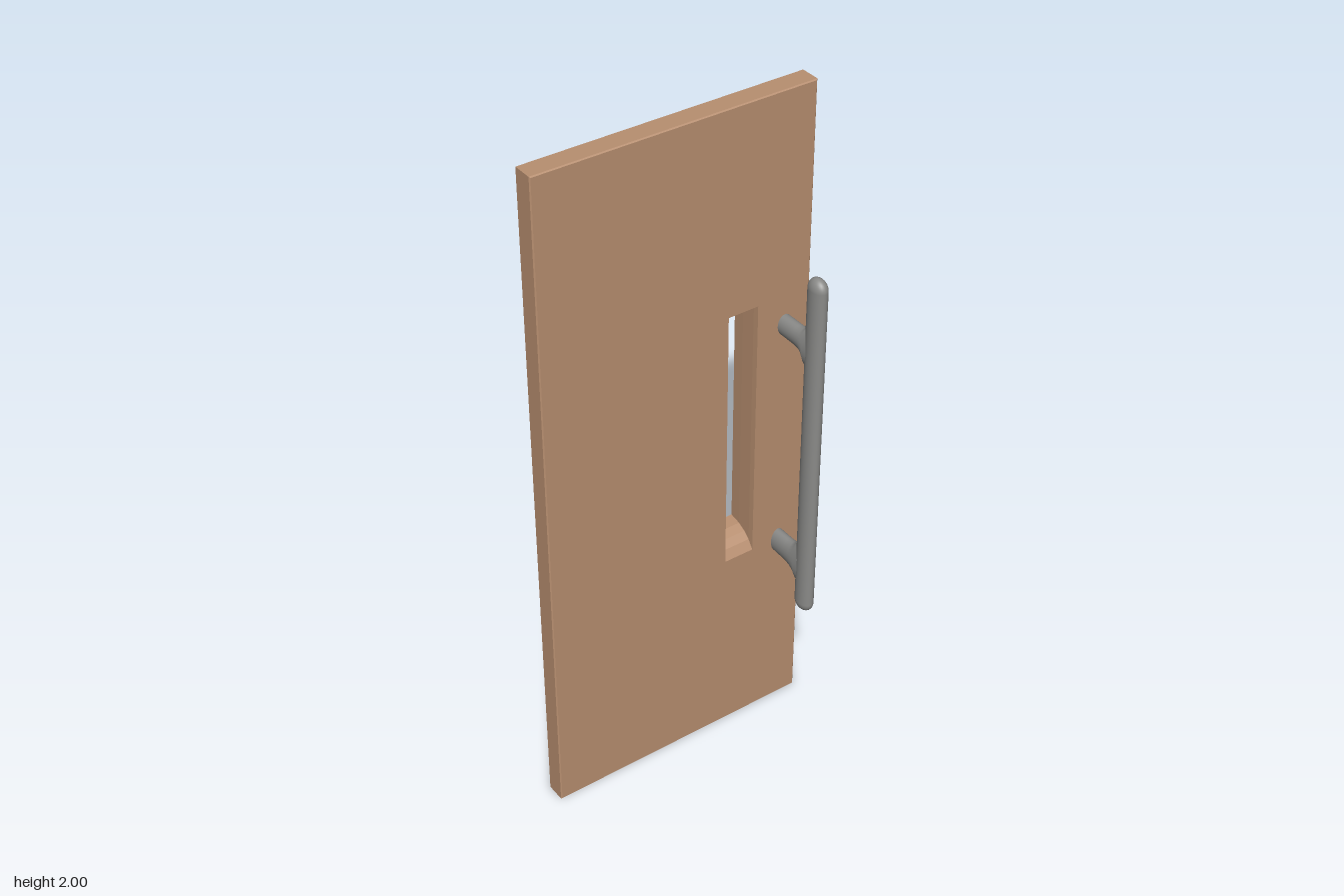
import * as THREE from 'three';

// Skin a list of equal-length point loops, joined in order
function loft(rings) {
  const n = rings[0].length;
  const index = [];
  for (let r = 0; r < rings.length - 1; r++) {
    for (let i = 0; i < n; i++) {
      const j = (i + 1) % n;
      const a = r * n + i, b = r * n + j, c = a + n, d = b + n;
      index.push(a, b, c, b, d, c);
    }
  }
  const geo = new THREE.BufferGeometry();
  geo.setAttribute('position', new THREE.Float32BufferAttribute(rings.flat(2), 3));
  geo.setIndex(index);
  geo.computeVertexNormals();
  return geo;
}

// Rectangular loop in the plane x
const rect = (x, z0, z1, y0, y1) => [[x, y0, z0], [x, y0, z1], [x, y1, z1], [x, y1, z0]];

// Oval loop in the plane x
function oval(x, y0, y1, halfZ, z, n = 24) {
  return Array.from({ length: n }, (_, i) => {
    const t = (i / n) * Math.PI * 2;
    return [x, (y0 + y1) / 2 - Math.sin(t) * (y1 - y0) / 2, z + Math.cos(t) * halfZ];
  });
}

export function createModel() {
  const wood = new THREE.MeshStandardMaterial({ color: 0xb88f70, side: THREE.DoubleSide });
  wood.name = 'wood';
  const metal = new THREE.MeshStandardMaterial({ color: 0x8a8a88 });
  metal.name = 'metal';

  const model = new THREE.Group();
  model.name = 'door';
  const add = (name, geo, mat, parent = model) => {
    const mesh = new THREE.Mesh(geo, mat);
    mesh.name = name;
    parent.add(mesh);
    return mesh;
  };

  // Door panel: flared through-slot, front face, slim bevels, edges and back face
  const back = -0.095, front = -0.033, e = 0.003;
  const panel = loft([
    rect(-0.132, -0.245, -0.18, 0.66, 1.402),
    rect(back, -0.244, -0.176, 0.655, 1.403),
    rect(-0.07, -0.244, -0.17, 0.643, 1.404),
    rect(-0.05, -0.244, -0.162, 0.626, 1.405),
    rect(front, -0.245, -0.152, 0.6, 1.407),
    rect(front, -0.41 + e, 0.41 - e, e, 2 - e),
    rect(front - e, -0.41, 0.41, 0, 2),
    rect(back + e, -0.41, 0.41, 0, 2),
    rect(back, -0.41 + e, 0.41 - e, e, 2 - e),
    rect(back, -0.244, -0.176, 0.655, 1.403),
  ]).toNonIndexed();
  panel.computeVertexNormals();
  add('doorPanel', panel, wood);

  // Pull handle: oval bar with rounded ends
  const handle = new THREE.Group();
  handle.name = 'pullHandle';
  model.add(handle);
  const barX = 0.096, barZ = -0.333;
  const bar = new THREE.CapsuleGeometry(0.0325, 1.03, 10, 28);
  bar.scale(1, 1, 0.69);
  add('handleBar', bar, metal, handle).position.set(barX, 0.979, barZ);

  // Mounting posts, flaring into the bar: [x, bottom, top, half depth]
  const posts = {
    upperPost: [
      [front - 0.01, 1.287, 1.35, 0.023], [0.03, 1.286, 1.35, 0.023], [0.048, 1.281, 1.352, 0.023],
      [0.058, 1.268, 1.357, 0.023], [0.065, 1.245, 1.364, 0.022], [0.085, 1.235, 1.368, 0.02],
    ],
    lowerPost: [
      [front - 0.01, 0.557, 0.634, 0.023], [0.02, 0.555, 0.634, 0.023], [0.042, 0.549, 0.637, 0.023],
      [0.056, 0.537, 0.644, 0.023], [0.065, 0.518, 0.658, 0.022], [0.085, 0.505, 0.668, 0.02],
    ],
  };
  for (const [name, rows] of Object.entries(posts)) {
    add(name, loft(rows.map(([x, y0, y1, h]) => oval(x, y0, y1, h, barZ))), metal, handle);
  }
  return model;
}
